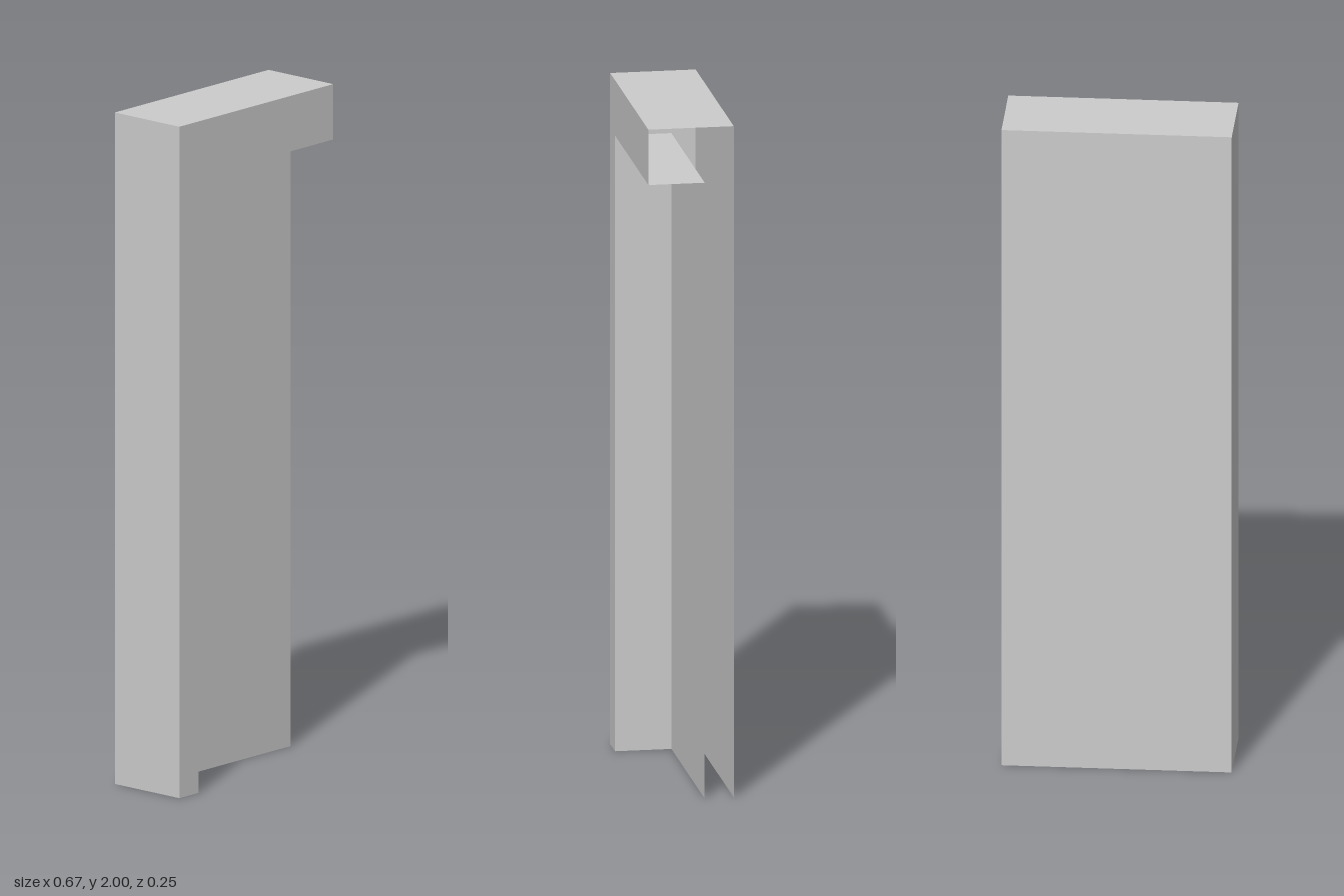
import * as THREE from 'three';

// Open sheet shell: left post and top beam around a recessed panel; right end and bottom are open.
const X = 1 / 3, H = 2, Z = 0.125;          // outer half width, height, half depth
const postX = -0.25, beamY = 1.835, recessZ = -0.04;

export function createModel() {
  const group = new THREE.Group();
  const material = new THREE.MeshStandardMaterial({ color: 0xcccccc, side: THREE.DoubleSide });

  const add = (name, geometry, x, y, z) => {
    const mesh = new THREE.Mesh(geometry, material);
    mesh.name = name;
    mesh.position.set(x, y, z);
    group.add(mesh);
  };
  // Sheets facing front (+z), up (+y) or left-hand side of the drawing (-x)
  const facing = {
    front: (w, h) => new THREE.PlaneGeometry(w, h),
    up: (w, d) => new THREE.PlaneGeometry(w, d).rotateX(-Math.PI / 2),
    down: (w, d) => new THREE.PlaneGeometry(w, d).rotateX(Math.PI / 2),
    back: (w, h) => new THREE.PlaneGeometry(w, h).rotateY(Math.PI),
    outer: (d, h) => new THREE.PlaneGeometry(d, h).rotateY(-Math.PI / 2),
    inner: (d, h) => new THREE.PlaneGeometry(d, h).rotateY(Math.PI / 2),
  };

  // Outer shell
  add('backPanel', facing.back(2 * X, H), 0, H / 2, -Z);
  add('topPanel', facing.up(2 * X, 2 * Z), 0, H, 0);
  add('sidePanel', facing.outer(2 * Z, H), -X, H / 2, 0);

  // L-shaped front of post and beam
  const frame = new THREE.Shape([
    [-X, 0], [postX, 0], [postX, beamY], [X, beamY], [X, H], [-X, H],
  ].map(([x, y]) => new THREE.Vector2(x, y)));
  add('frontFrame', new THREE.ShapeGeometry(frame), 0, 0, Z);

  // Recess behind the frame
  const w = X - postX, d = Z - recessZ;
  const midX = (X + postX) / 2, midZ = (Z + recessZ) / 2;
  add('recessedPanel', facing.front(w, beamY), midX, beamY / 2, recessZ);
  add('beamUnderside', facing.down(w, d), midX, beamY, midZ);
  add('postInnerSide', facing.inner(d, beamY), postX, beamY / 2, midZ);

  return group;
}
